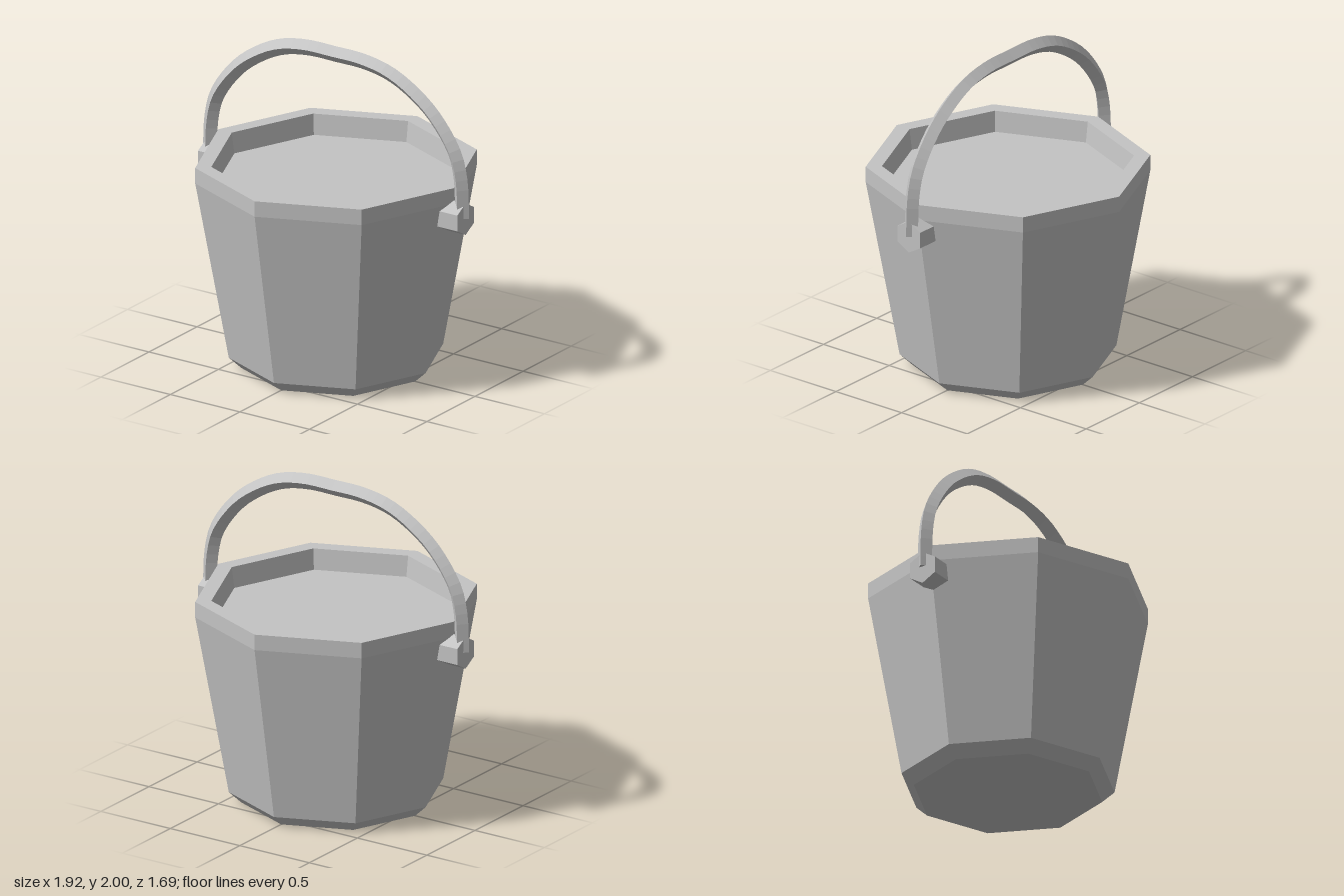
import * as THREE from 'three';

export function createModel() {
  const model = new THREE.Group();
  const grey = new THREE.MeshStandardMaterial({ color: 0xc4c4c4, flatShading: true });
  grey.name = 'plain grey';

  const add = (name, geometry) => {
    const mesh = new THREE.Mesh(geometry, grey);
    mesh.name = name;
    model.add(mesh);
    return mesh;
  };

  // Eight-sided pail: chamfered base, tapering wall, upright rim, shallow recess
  const profile = [
    [0, 0], [0.57, 0], [0.645, 0.07], [0.847, 1.19], [0.847, 1.288],
    [0.75, 1.288], [0.732, 1.16], [0, 1.16],
  ].map(([r, y]) => new THREE.Vector2(r, y));
  add('pail', new THREE.LatheGeometry(profile, 8));

  // Arched handle with a diamond section
  const half = [
    [0.908, 1.117], [0.905, 1.22], [0.897, 1.35], [0.855, 1.51], [0.71, 1.71],
    [0.55, 1.835], [0.385, 1.915], [0.2, 1.95],
  ];
  const points = [
    ...half.map(([x, y]) => new THREE.Vector3(-x, y, 0)),
    new THREE.Vector3(0, 1.952, 0),
    ...half.map(([x, y]) => new THREE.Vector3(x, y, 0)).reverse(),
  ];
  const path = new THREE.CatmullRomCurve3(points);
  add('handle', new THREE.TubeGeometry(path, 48, 0.05, 4));

  for (const side of [1, -1]) {
    // Closed lower end of the handle
    const end = add('handleEnd', new THREE.CircleGeometry(0.05, 4));
    end.rotation.x = Math.PI / 2;
    end.position.set(side * 0.908, 1.117, 0);

    // Six-sided lug, one corner up
    const lug = new THREE.CylinderGeometry(0.1, 0.1, 0.153, 6);
    lug.rotateY(Math.PI / 2).rotateZ(Math.PI / 2);
    add(side > 0 ? 'leftLug' : 'rightLug', lug).position.set(side * 0.8565, 1.11, 0);
  }

  return model;
}
